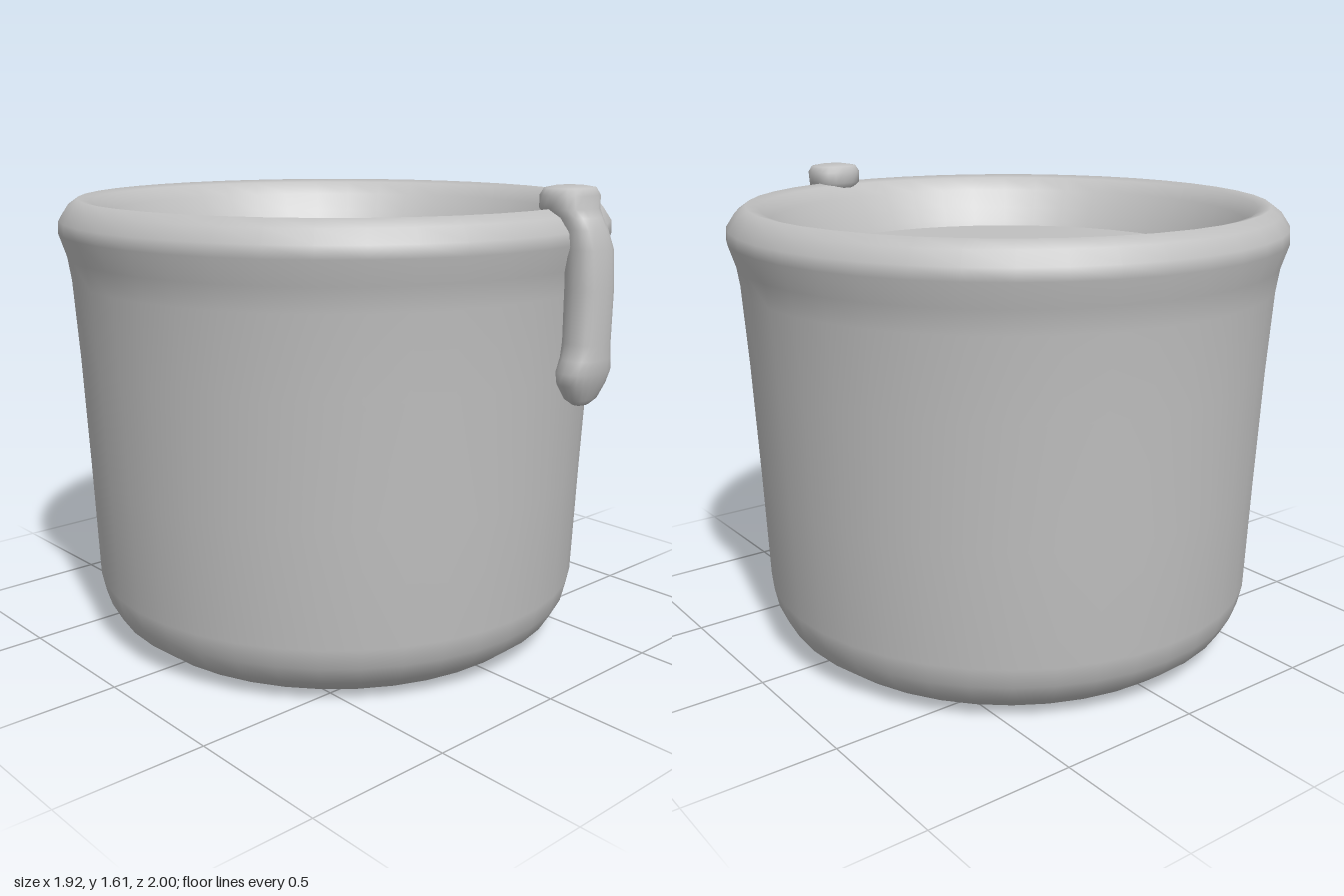
import * as THREE from 'three';

const grey = new THREE.MeshStandardMaterial({ color: 0xc0c0c0 });
grey.name = 'plain grey';

function add(group, name, geometry) {
  const mesh = new THREE.Mesh(geometry, grey);
  mesh.name = name;
  group.add(mesh);
  return mesh;
}

// Closed smooth skin through rounded rings [y, centreX, centreZ, halfX, halfZ], bottom to top
function loft(rings, sides = 20) {
  const pos = [], idx = [];
  for (const [y, cx, cz, rx, rz] of rings) {
    for (let i = 0; i < sides; i++) {
      const a = (i / sides) * Math.PI * 2;
      const soft = (v) => Math.sign(v) * Math.abs(v) ** 0.85;
      pos.push(cx + rx * soft(Math.sin(a)), y, cz + rz * soft(Math.cos(a)));
    }
  }
  for (let j = 0; j < rings.length - 1; j++) {
    for (let i = 0; i < sides; i++) {
      const a = j * sides + i, b = j * sides + ((i + 1) % sides);
      idx.push(a, b, b + sides, a, b + sides, a + sides);
    }
  }
  // end caps
  [0, rings.length - 1].forEach((j, end) => {
    const [y, cx, cz] = rings[j];
    const c = pos.length / 3;
    pos.push(cx, y, cz);
    for (let i = 0; i < sides; i++) {
      const a = j * sides + i, b = j * sides + ((i + 1) % sides);
      if (end) idx.push(c, a, b); else idx.push(c, b, a);
    }
  });
  const g = new THREE.BufferGeometry();
  g.setAttribute('position', new THREE.Float32BufferAttribute(pos, 3));
  g.setIndex(idx);
  g.computeVertexNormals();
  return g;
}

export function createModel() {
  const model = new THREE.Group();
  model.name = 'pot';

  // Pot wall: flat base, rounded foot, flaring side, rolled rim and inner lip
  const profile = [
    [0, 0], [0.66, 0.002], [0.75, 0.02], [0.82, 0.075], [0.855, 0.14], [0.87, 0.21],
    [0.885, 0.6], [0.903, 1.0], [0.92, 1.27], [0.932, 1.35], [0.958, 1.43], [0.955, 1.47],
    [0.925, 1.515], [0.89, 1.54], [0.85, 1.53], [0.81, 1.485], [0.775, 1.42], [0.745, 1.37], [0.725, 1.32],
  ].map(([r, y]) => new THREE.Vector2(r, y));
  add(model, 'potWall', new THREE.LatheGeometry(profile, 40)).position.z = -0.04;

  // Surface of the contents, set below the rim
  const fill = new THREE.CylinderGeometry(0.73, 0.73, 0.03, 40);
  add(model, 'contents', fill).position.set(0, 1.335, -0.04);

  // Hook hanging over the front of the rim, with a knob at each end
  add(model, 'hook', loft([
    [0.93, 0.18, 0.925, 0.03, 0.02], [0.95, 0.18, 0.925, 0.06, 0.04],
    [1.0, 0.18, 0.925, 0.09, 0.06], [1.04, 0.18, 0.93, 0.1, 0.067],
    [1.08, 0.185, 0.932, 0.088, 0.066], [1.13, 0.19, 0.93, 0.079, 0.066],
    [1.3, 0.195, 0.927, 0.079, 0.068], [1.42, 0.195, 0.92, 0.08, 0.065],
    [1.48, 0.185, 0.905, 0.075, 0.065], [1.515, 0.18, 0.87, 0.078, 0.085],
    [1.54, 0.18, 0.85, 0.095, 0.085], [1.58, 0.18, 0.85, 0.099, 0.082],
    [1.602, 0.18, 0.85, 0.085, 0.07], [1.608, 0.18, 0.85, 0.05, 0.045],
  ]));

  return model;
}
